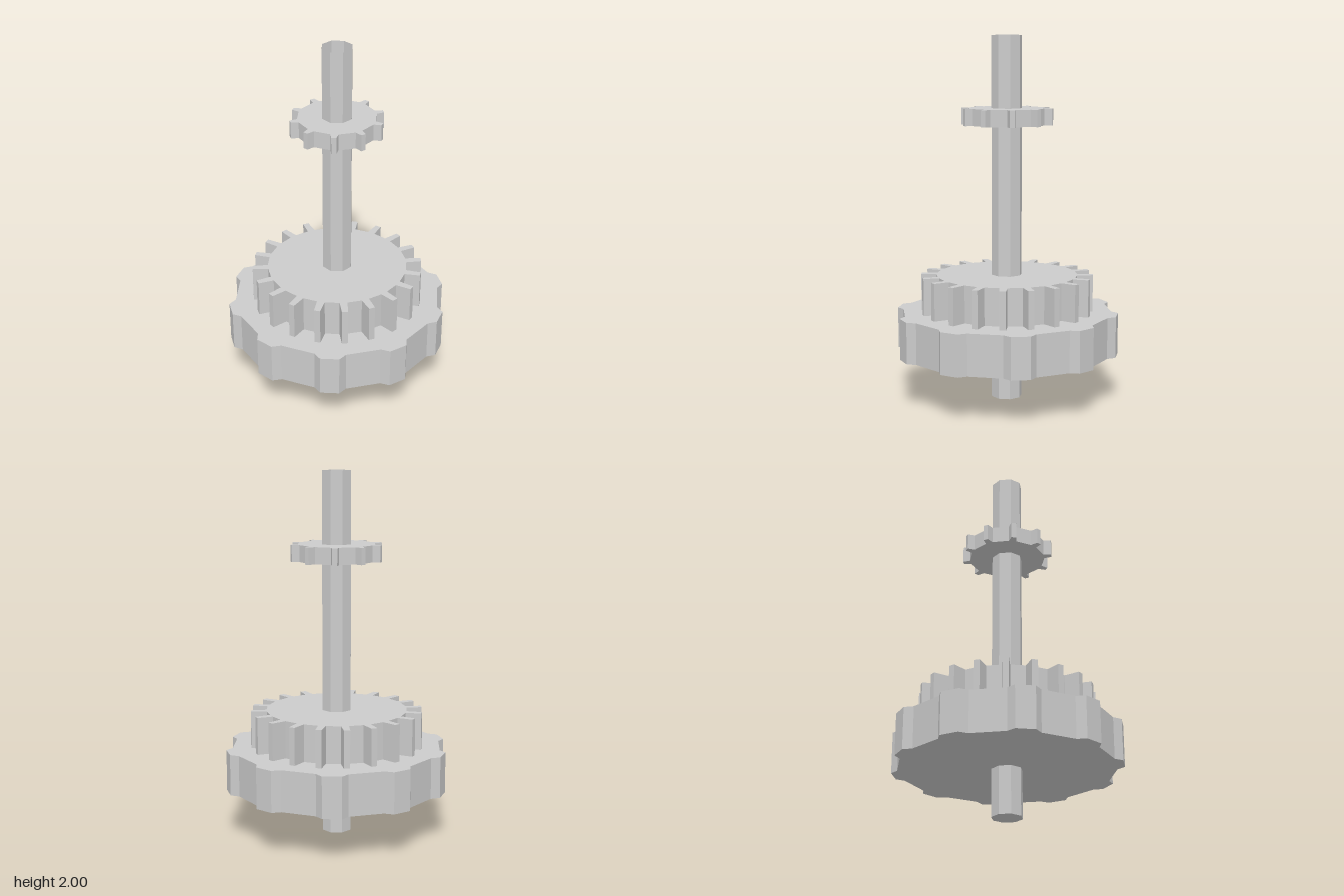
import * as THREE from 'three';

const rad = THREE.MathUtils.degToRad;
const grey = new THREE.MeshStandardMaterial({ color: 0xcccccc, flatShading: true });
const greyThin = new THREE.MeshStandardMaterial({ color: 0xcccccc, flatShading: true, side: THREE.DoubleSide });

// Flat gear with tapered teeth and straight valleys; angles in degrees.
function makeGear({ name, teeth, phase, rootRadius, tipRadius, rootHalf, tipHalf, bottom, top }) {
  const points = [];
  for (let i = 0; i < teeth; i++) {
    const mid = phase + (i * 360) / teeth;
    const corners = [[rootRadius, -rootHalf], [tipRadius, -tipHalf], [tipRadius, tipHalf], [rootRadius, rootHalf]];
    for (const [r, offset] of corners) {
      const a = rad(mid + offset);
      points.push(new THREE.Vector2(r * Math.cos(a), r * Math.sin(a)));
    }
  }
  const geometry = new THREE.ExtrudeGeometry(new THREE.Shape(points), { depth: top - bottom, bevelEnabled: false });
  geometry.rotateX(-Math.PI / 2);
  const gear = new THREE.Mesh(geometry, grey);
  gear.name = name;
  gear.position.y = bottom;
  return gear;
}

export function createModel() {
  const model = new THREE.Group();
  model.name = 'gearShaft';

  // Octagonal shaft, open at the top and closed at the bottom
  const shaft = new THREE.Group();
  shaft.name = 'shaft';
  const wall = new THREE.Mesh(new THREE.CylinderGeometry(0.084, 0.084, 2, 8, 1, true, rad(11.25)), greyThin);
  wall.name = 'shaftWall';
  wall.position.y = 1;
  const end = new THREE.Mesh(new THREE.CircleGeometry(0.084, 8, rad(33.75)).rotateX(Math.PI / 2), greyThin);
  end.name = 'shaftEnd';
  shaft.add(wall, end);
  model.add(shaft);

  // Three gears from bottom to top
  model.add(
    makeGear({ name: 'largeGear', teeth: 10, phase: -3.8, rootRadius: 0.577, tipRadius: 0.615,
      rootHalf: 8.4, tipHalf: 4.8, bottom: 0.26, top: 0.487 }),
    makeGear({ name: 'middleGear', teeth: 20, phase: 5, rootRadius: 0.389, tipRadius: 0.475,
      rootHalf: 3.1, tipHalf: 2, bottom: 0.487, top: 0.692 }),
    makeGear({ name: 'smallGear', teeth: 10, phase: -3.8, rootRadius: 0.212, tipRadius: 0.253,
      rootHalf: 5.5, tipHalf: 3, bottom: 1.517, top: 1.608 }),
  );
  return model;
}
